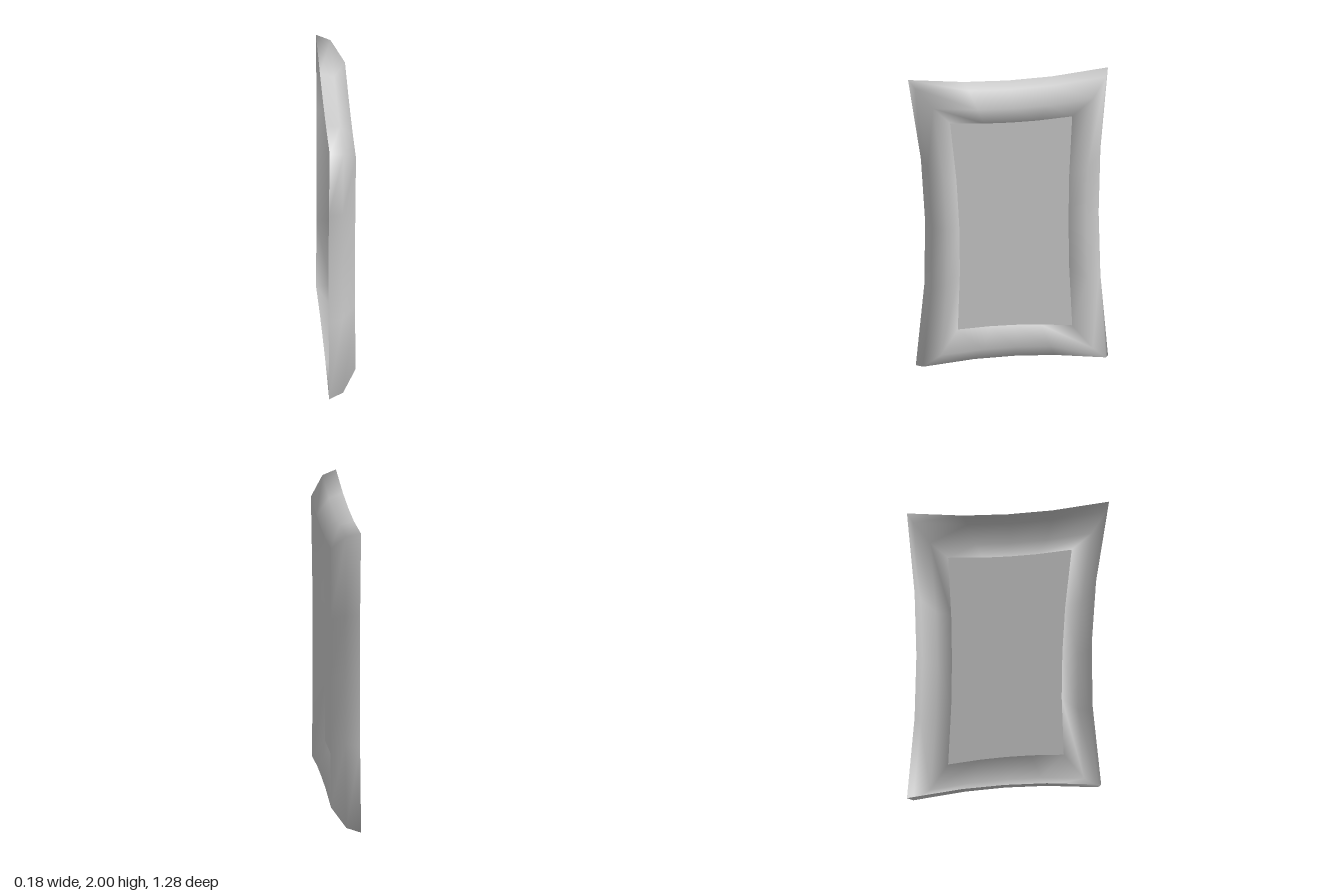
import * as THREE from 'three';

// Outer corners as [z, y], counter-clockwise seen from +x, and the inward bow of the side that follows each
const corners = [[-0.64, 1.985], [0.645, 2.0], [0.595, 0.03], [-0.64, 0.0]];
const bows = [[0, -0.047], [-0.085, 0], [0, 0.045], [0.06, 0]];
const steps = [0, 0.28, 0.5, 0.72];

// Frame section from the back rim over the ridge to the panel: depth x, inset in z and y, share of the bow
const section = [
  { x: -0.09, dz: 0, dy: 0, bow: 1 },
  { x: 0.0, dz: 0.03, dy: 0.025, bow: 0.97 },
  { x: 0.085, dz: 0.128, dy: 0.132, bow: 0.75 },
  { x: 0.018, dz: 0.25, dy: 0.272, bow: 0.4 },
];

// One closed, bowed rectangular ring
function ring({ x, dz, dy, bow }) {
  const inset = corners.map(([z, y]) => [z - Math.sign(z) * dz, y - Math.sign(y - 1) * dy]);
  const points = [];
  inset.forEach(([z, y], i) => {
    const [z2, y2] = inset[(i + 1) % 4];
    for (const t of steps) {
      const b = 4 * t * (1 - t) * bow;
      points.push([x, y + (y2 - y) * t + bows[i][1] * b, z + (z2 - z) * t + bows[i][0] * b]);
    }
  });
  return points;
}

function makeMesh(name, points, index, material) {
  const geometry = new THREE.BufferGeometry();
  geometry.setAttribute('position', new THREE.Float32BufferAttribute(points.flat(), 3));
  geometry.setIndex(index);
  geometry.computeVertexNormals();
  const mesh = new THREE.Mesh(geometry, material);
  mesh.name = name;
  return mesh;
}

export function createModel() {
  const group = new THREE.Group();
  group.name = 'framedPanel';
  const material = new THREE.MeshStandardMaterial({ color: 0xcccccc, side: THREE.DoubleSide });
  const rings = section.map(ring);
  const n = rings[0].length;

  // Hollow frame moulding, smooth over the ridge and open at the back
  const frameIndex = [];
  for (let r = 0; r < rings.length - 1; r++) {
    for (let i = 0; i < n; i++) {
      const a = r * n + i, b = r * n + (i + 1) % n;
      frameIndex.push(a, b, a + n, b, b + n, a + n);
    }
  }
  group.add(makeMesh('frame', rings.flat(), frameIndex, material));

  // Flat panel filling the inner ring
  const inner = rings[rings.length - 1];
  const panelIndex = [];
  for (let i = 0; i < n; i++) panelIndex.push(n, i, (i + 1) % n);
  group.add(makeMesh('panel', [...inner, [section[3].x, 1, 0]], panelIndex, material));

  return group;
}
